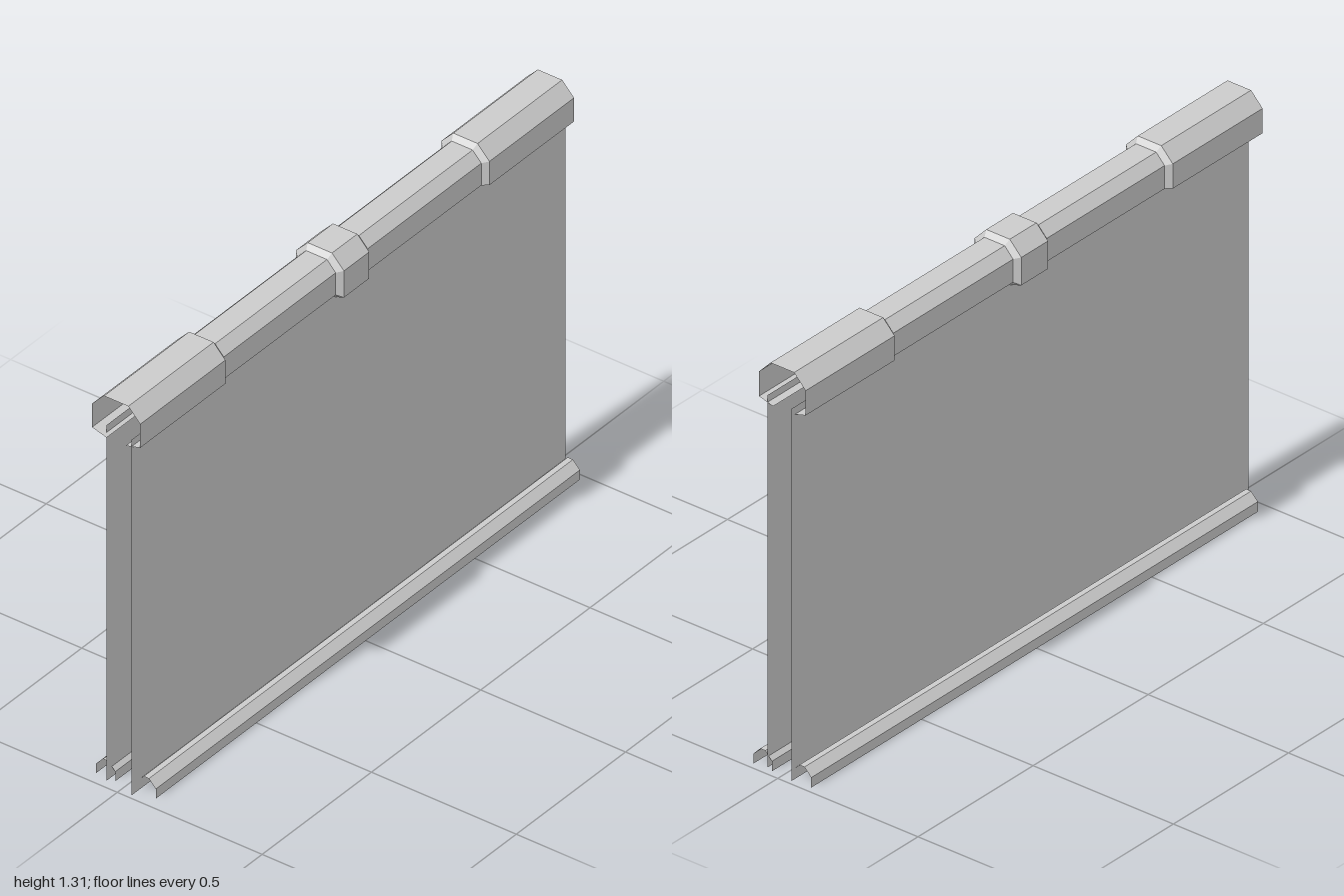
import * as THREE from 'three';

const material = new THREE.MeshStandardMaterial({ color: 0xcccccc, flatShading: true, side: THREE.DoubleSide });

// Skin a row of open [z, y] cross-sections placed at the given x stations
function loft(name, stations) {
  const pos = [];
  for (let s = 0; s < stations.length - 1; s++) {
    const [xa, a] = stations[s], [xb, b] = stations[s + 1];
    for (let i = 0; i < a.length - 1; i++) {
      const p = [xa, a[i][1], a[i][0]], q = [xa, a[i + 1][1], a[i + 1][0]];
      const r = [xb, b[i + 1][1], b[i + 1][0]], t = [xb, b[i][1], b[i][0]];
      pos.push(...p, ...t, ...r, ...p, ...r, ...q);
    }
  }
  const geo = new THREE.BufferGeometry();
  geo.setAttribute('position', new THREE.Float32BufferAttribute(pos, 3));
  geo.computeVertexNormals();
  const mesh = new THREE.Mesh(geo, material);
  mesh.name = name;
  return mesh;
}

// Mirror a half section (back lip up to the top) into a full C shape
const mirrored = (half) => [
  ...half.map(([z, y]) => [-z, y]),
  ...half.slice().reverse(),
];

export function createModel() {
  const model = new THREE.Group();
  model.name = 'hangingFile';

  const wide = mirrored([[0.033, 1.172], [0.083, 1.186], [0.083, 1.265], [0.042, 1.308]]);
  const narrow = mirrored([[0.033, 1.172], [0.066, 1.186], [0.066, 1.26], [0.036, 1.292]]);
  const clipOuter = mirrored([[0.035, 1.159], [0.083, 1.176], [0.083, 1.265], [0.042, 1.308]]);

  // Top rail: wide ends, slimmer middle
  const rail = loft('topRail', [
    [-1, wide], [-0.61, wide], [-0.595, narrow],
    [0.583, narrow], [0.598, wide], [0.985, wide],
  ]);

  // Raised clip around the middle of the rail
  const clip = loft('centreClip', [
    [-0.083, narrow], [-0.068, clipOuter], [0.048, clipOuter], [0.063, narrow],
  ]);
  rail.position.z = clip.position.z = -0.004;
  model.add(rail, clip);

  for (const side of [1, -1]) {
    const label = side > 0 ? 'front' : 'back';

    // Hanging sheet, the two slightly offset sideways
    const sheet = new THREE.Mesh(new THREE.PlaneGeometry(1.985, 1.19), material);
    sheet.name = label + 'Sheet';
    sheet.position.set(-0.0075 * side, 0.605, 0.049 * side);
    if (side < 0) sheet.rotation.y = Math.PI;
    model.add(sheet);

    // Folded channel gripping the lower edge
    const channel = [
      [0.037, 0], [0.037, 0.032], [0.061, 0.057],
      [0.079, 0.057], [0.103, 0.032], [0.103, 0],
    ].map(([z, y]) => [z * side, y]);
    if (side < 0) channel.reverse();
    model.add(loft(label + 'BottomChannel', [[-0.96, channel], [0.98, channel]]));
  }
  return model;
}
